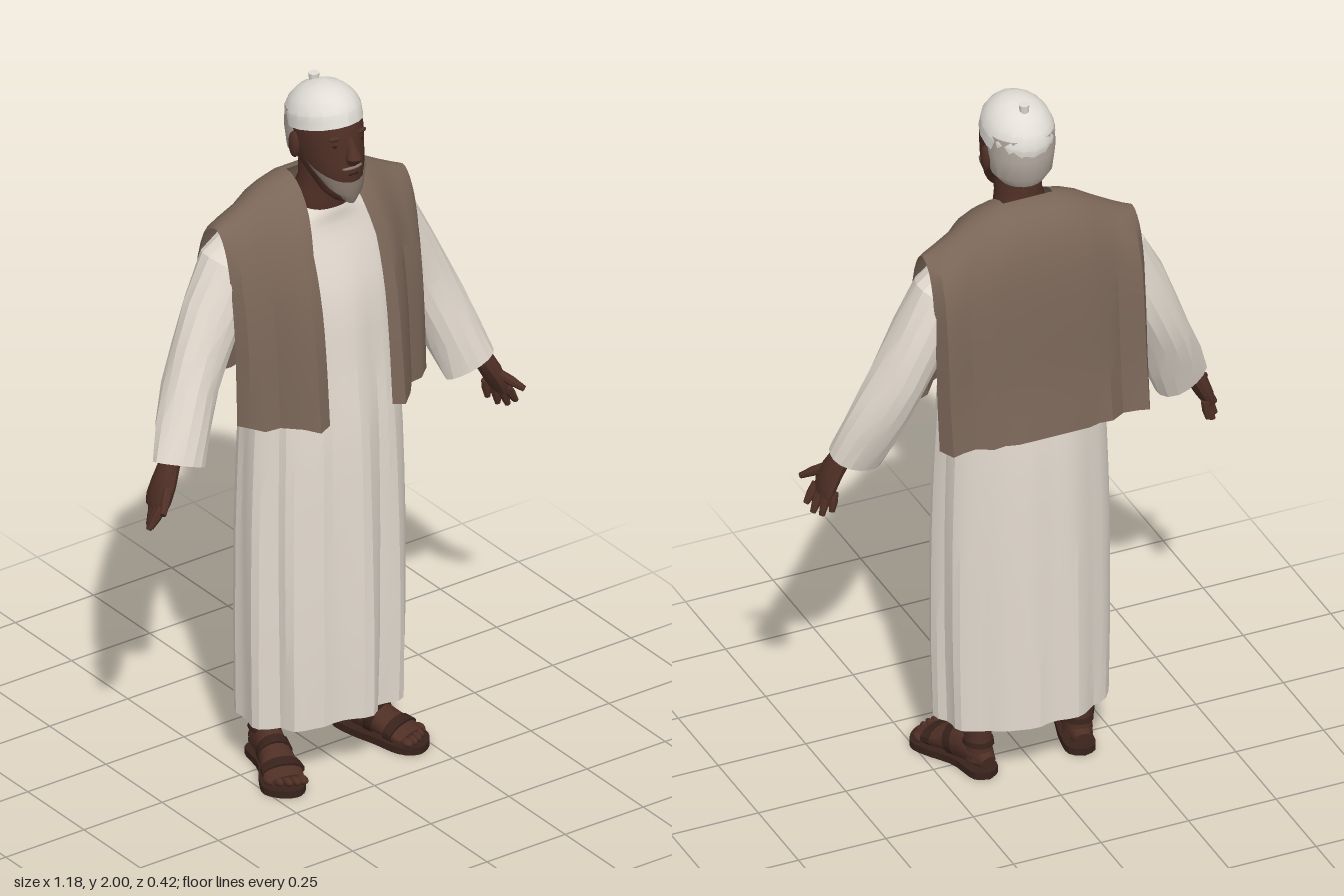
import * as THREE from 'three';
import { toCreasedNormals } from 'three/addons/utils/BufferGeometryUtils.js';

const V = (x, y, z) => new THREE.Vector3(x, y, z);
const mat = (name, color, side = THREE.FrontSide) => {
  const m = new THREE.MeshStandardMaterial({ color, side });
  m.name = name;
  return m;
};

// Joins rows of points into a surface; skip(row, column) leaves a hole
function grid(rows, closed, skip = () => false, crease = 0.6) {
  const n = rows[0].length, index = [];
  for (let r = 0; r < rows.length - 1; r++) {
    for (let c = 0; c < (closed ? n : n - 1); c++) {
      if (skip(r, c)) continue;
      const d = (c + 1) % n, a = r * n, b = a + n;
      index.push(a + c, a + d, b + d, a + c, b + d, b + c);
    }
  }
  const g = new THREE.BufferGeometry().setFromPoints(rows.flat());
  g.setIndex(index);
  return toCreasedNormals(g, crease);
}

// Lofts ellipses along a path of [x, y, z, radius u, radius v]
function loft(path, { n = 14, hint = V(0, 0, 1), mod = () => 1, caps = true, crease = 0.6 } = {}) {
  const pts = path.map(p => V(p[0], p[1], p[2])), last = pts.length - 1;
  const rows = pts.map((p, i) => {
    const t = pts[Math.min(i + 1, last)].clone().sub(pts[Math.max(i - 1, 0)]).normalize();
    const u = t.clone().cross(hint).normalize(), v = u.clone().cross(t);
    return Array.from({ length: n }, (_, j) => {
      const a = j / n * Math.PI * 2, m = mod(a, i / last);
      return p.clone().addScaledVector(u, path[i][3] * m * Math.sin(a)).addScaledVector(v, path[i][4] * m * Math.cos(a));
    });
  });
  if (caps) {
    rows.unshift(Array(n).fill(pts[0]));
    rows.push(Array(n).fill(pts[last]));
  }
  return grid(rows, true, undefined, crease);
}

// Upright loft from rows of [y, centre z, radius x, radius z]; rise(angle, fraction) bends a ring up or down
const column = (rows, { n = 14, mod = () => 1, rise = () => 0, caps = true, crease = 0.6 } = {}) => {
  const rings = rows.map(([y, z, rx, rz], i) => Array.from({ length: n }, (_, j) => {
    const a = j / n * Math.PI * 2, f = i / (rows.length - 1), m = mod(a, f);
    return V(rx * m * Math.sin(a), y + rise(a, f), z + rz * m * Math.cos(a));
  }));
  if (caps) {
    rings.unshift(Array(n).fill(V(0, rows[0][0], rows[0][1])));
    rings.push(Array(n).fill(V(0, rows.at(-1)[0], rows.at(-1)[1])));
  }
  return grid(rings, true, undefined, crease);
};

// Smooths a short list of rows into many
function refine(rows, count) {
  const a = new THREE.CatmullRomCurve3(rows.map(r => V(r[0], r[1], 0)));
  const b = new THREE.CatmullRomCurve3(rows.map(r => V(r[2] ?? 0, r[3] ?? 0, 0)));
  return Array.from({ length: count + 1 }, (_, i) => {
    const p = a.getPoint(i / count), q = b.getPoint(i / count);
    return [p.x, p.y, q.x, q.y];
  });
}

export function createModel() {
  const model = new THREE.Group();
  const robe = mat('robe cloth', 0xe3dacf, THREE.DoubleSide);
  const vest = mat('vest cloth', 0x7a6658, THREE.DoubleSide);
  const skin = mat('skin', 0x4e2f25);
  const capCloth = mat('cap cloth', 0xe2ded7);
  const paleHair = mat('pale hair', 0xb3a99f);
  const beardHair = mat('grey beard', 0x85776c, THREE.DoubleSide);
  const leather = mat('sandal leather', 0x38221b);
  const dark = mat('dark detail', 0x2c1a15);

  const add = (name, geometry, material, parent = model) => {
    const m = new THREE.Mesh(geometry, material);
    m.name = name;
    parent.add(m);
    return m;
  };
  const ball = (name, p, s, material, parent) => {
    const m = add(name, new THREE.SphereGeometry(1, 12, 8), material, parent);
    m.position.set(...p);
    m.scale.set(...s);
    return m;
  };

  // Long robe, with creased folds that deepen towards the hem and a dipped neckline
  const robeRows = refine([
    [0.168, 0.006, 0.237, 0.19], [0.4, 0.009, 0.242, 0.191], [0.7, 0.009, 0.242, 0.187], [1.0, 0.009, 0.233, 0.179],
    [1.2, 0.008, 0.222, 0.16], [1.4, 0.003, 0.222, 0.145], [1.53, -0.012, 0.222, 0.12], [1.6, -0.015, 0.19, 0.1],
    [1.635, 0, 0.11, 0.084], [1.655, 0.004, 0.082, 0.076]], 22);
  add('robe', column(robeRows, {
    n: 54, caps: false, crease: 0.3,
    mod: (a, f) => {
      const depth = Math.max(0, 1 - f * 1.5) * (0.45 + 0.55 * Math.max(0, Math.cos(a)));
      const fold = Math.abs(Math.sin(4.5 * a + 1.4 + 0.5 * f)) - 0.72;
      return 1 + depth * (0.15 * fold + 0.035 * Math.sin(13 * a + 3 * f));
    },
    rise: (a, f) => f < 0.04 ? 0.012 * Math.cos(2 * a) : f > 0.97 ? -0.012 * Math.cos(a) : 0,
  }), robe);

  // Open vest: one sheet from the front hem, over the shoulders, to the back hem
  const profile = refine([
    [0.2, 1.075], [0.185, 1.25], [0.165, 1.4], [0.13, 1.53], [0.075, 1.65], [0.01, 1.71], [-0.05, 1.725],
    [-0.11, 1.69], [-0.153, 1.6], [-0.178, 1.4], [-0.188, 1.25], [-0.208, 1.085]], 28);
  const half = [ // x, depth in front, depth at the back, shoulder drop
    [0.1, 0.97, 1, 0], [0.135, 0.98, 0.99, 0.1], [0.17, 0.91, 0.95, 0.25], [0.21, 0.68, 0.84, 0.5],
    [0.25, 0.62, 0.89, 0.75], [0.28, 0.57, 0.88, 0.92], [0.3, 0.42, 0.62, 1]];
  const columns = [...half.map(([x, ...k]) => [-x, ...k]).reverse(), ...half];
  const vestRows = profile.map(([z, y]) => columns.map(([x, kf, kb, drop]) => {
    const top = Math.max(0, (y - 1.55) / 0.18);
    const narrow = 0.03 * top * (0.3 - Math.abs(x)) / 0.2;
    const low = Math.max(0, 1.6 - y) * 0.012 * Math.sin(Math.abs(x) * 60);
    return V(x - Math.sign(x) * narrow, 1.075 + (y - 1.075) * (1 - 0.16 * drop) - (z > 0 ? low : 0),
      -0.04 + (z + 0.04) * (z > -0.04 ? kf : kb) + low);
  }));
  add('vest', grid(vestRows, false, (r, c) => c === 6 && profile[r + 1][0] > -0.058, 0.5), vest);

  // Neck and head
  const head = new THREE.Group();
  head.name = 'head';
  model.add(head);
  add('neck', column([[1.6, 0.0, 0.075, 0.07], [1.66, 0.005, 0.079, 0.073], [1.685, 0.008, 0.072, 0.069], [1.72, 0.018, 0.064, 0.062], [1.8, 0.02, 0.066, 0.065]]), skin, head);
  add('face', column(refine([
    [1.693, 0.108, 0.03, 0.034], [1.715, 0.097, 0.052, 0.056], [1.75, 0.075, 0.066, 0.081], [1.79, 0.05, 0.08, 0.109],
    [1.84, 0.036, 0.088, 0.115], [1.88, 0.03, 0.091, 0.116], [1.92, 0.026, 0.09, 0.108], [1.95, 0.025, 0.08, 0.09]], 16), { n: 24 }), skin, head);

  // Beard: a thin strip around the jaw, climbing towards the ears
  const beardRows = [[0, -0.006, 0.031, 0.108], [0.022, 0, 0.054, 0.097], [0.048, 0, 0.066, 0.078], [0.066, 0, 0.071, 0.067]]
    .map(([dy, dz, rx, cz]) => Array.from({ length: 17 }, (_, j) => {
      const a = (j / 8 - 1) * 1.75, lift = 0.045 * (1 - Math.cos(a));
      const grow = 1.05 + 0.12 * (1 - Math.cos(a));
      return V(rx * grow * Math.sin(a), 1.69 + dy + lift, cz + dz + (0.16 - cz) * Math.cos(a));
    }));
  add('beard', grid(beardRows, false), beardHair, head);
  add('back hair', column([
    [1.772, -0.004, 0.06, 0.06], [1.8, -0.003, 0.083, 0.076], [1.86, 0, 0.091, 0.087], [1.92, 0, 0.09, 0.082]], { n: 20 }), paleHair, head);
  add('nose', loft([[0, 1.88, 0.138, 0.01, 0.008], [0, 1.85, 0.148, 0.014, 0.014], [0, 1.826, 0.157, 0.022, 0.024], [0, 1.81, 0.15, 0.018, 0.014]], { n: 10 }), skin, head);
  ball('moustache', [0, 1.796, 0.149], [0.032, 0.006, 0.012], beardHair, head);
  ball('lips', [0, 1.778, 0.146], [0.026, 0.009, 0.013], dark, head);
  for (const s of [1, -1]) {
    ball('ear', [s * 0.092, 1.835, 0.02], [0.012, 0.038, 0.02], skin, head);
    ball('brow', [s * 0.034, 1.882, 0.128], [0.026, 0.008, 0.011], skin, head);
    ball('eye', [s * 0.036, 1.86, 0.131], [0.013, 0.005, 0.006], dark, head);
  }

  // Round cap, tipped back, with a knob on top
  const cap = add('cap', column(refine([
    [-0.012, 0, 0.096, 0.114], [0.025, 0, 0.095, 0.112], [0.058, 0, 0.08, 0.094], [0.084, 0, 0.051, 0.06], [0.096, 0, 0.015, 0.018]], 8), { n: 18, crease: 0.4 }), capCloth, head);
  cap.position.set(0, 1.897, 0.025);
  cap.rotation.x = -0.24;
  const knob = add('cap knob', new THREE.CylinderGeometry(0.015, 0.012, 0.03, 8), capCloth, head);
  knob.position.set(0, 1.985, -0.02);

  for (const s of [1, -1]) {
    const side = s > 0 ? 'left' : 'right';
    const limb = (rows, opt) => loft(rows.map(([x, ...r]) => [s * x, ...r]), opt);

    // Wide sleeve, open at the cuff
    const arm = new THREE.Group();
    arm.name = side + 'Arm';
    model.add(arm);
    add('sleeve', limb([
      [0.2, 1.56, -0.045, 0.06, 0.07], [0.25, 1.5, -0.045, 0.08, 0.083], [0.305, 1.39, -0.045, 0.08, 0.082],
      [0.355, 1.28, -0.038, 0.077, 0.078], [0.395, 1.19, -0.022, 0.077, 0.073], [0.43, 1.1, 0.002, 0.079, 0.065], [0.465, 1.008, 0.028, 0.076, 0.055]], {
      n: 16, caps: false, crease: 0.25, mod: (a, f) => 1 + 0.05 * Math.sin(3 * a + 9 * f),
    }), robe, arm);

    // Hand with spread fingers and a forward thumb
    const hand = new THREE.Group();
    hand.name = side + 'Hand';
    arm.add(hand);
    add('palm', limb([
      [0.44, 1.1, 0.01, 0.032, 0.032], [0.498, 1.02, 0.03, 0.028, 0.031], [0.522, 0.975, 0.038, 0.026, 0.042],
      [0.54, 0.935, 0.04, 0.022, 0.046], [0.548, 0.91, 0.04, 0.015, 0.04]], { n: 12 }), skin, hand);
    const digits = [
      [[0.53, 0.925, 0.008], [0.538, 0.872, 0.004]], [[0.542, 0.92, 0.03], [0.558, 0.855, 0.022]],
      [[0.548, 0.92, 0.05], [0.574, 0.856, 0.044]], [[0.552, 0.925, 0.07], [0.584, 0.874, 0.066]],
      [[0.525, 0.975, 0.062], [0.578, 0.93, 0.113]]];
    digits.forEach(([a, b], i) => {
      const mid = a.map((v, k) => (v + b[k]) / 2);
      add(i < 4 ? 'finger' : 'thumb', limb([[...a, 0.012, 0.013], [...mid, 0.013, 0.013], [...b, 0.008, 0.008]], { n: 8 }), skin, hand);
    });

    // Ankle, foot and toes, turned slightly outwards
    const foot = new THREE.Group();
    foot.name = side + 'Foot';
    model.add(foot);
    add('ankle', limb([
      [0.142, 0.3, -0.025, 0.042, 0.05], [0.142, 0.2, -0.035, 0.038, 0.046], [0.142, 0.11, -0.04, 0.035, 0.044], [0.142, 0.04, -0.045, 0.038, 0.048]]), skin, foot);
    const up = { hint: V(0, 1, 0), n: 14 };
    add('foot', limb([
      [0.135, 0.045, -0.092, 0.022, 0.02], [0.14, 0.055, -0.06, 0.036, 0.038], [0.155, 0.065, 0, 0.041, 0.052],
      [0.175, 0.05, 0.06, 0.046, 0.036], [0.193, 0.037, 0.11, 0.054, 0.022], [0.2, 0.032, 0.14, 0.048, 0.015]], up), skin, foot);
    for (let i = 0; i < 5; i++) {
      ball('toe', [s * (0.168 + i * 0.019), 0.033, 0.162 - 0.003 * i * i], [i ? 0.01 : 0.014, 0.012, 0.02], skin, foot);
    }

    // Sandal: sole and straps
    const outline = new THREE.Shape();
    outline.setFromPoints(new THREE.SplineCurve([
      [0.135, 0.104], [0.175, 0.085], [0.195, 0.0], [0.24, -0.07], [0.26, -0.12], [0.235, -0.165], [0.19, -0.184],
      [0.148, -0.15], [0.128, -0.07], [0.108, 0.0], [0.1, 0.075], [0.135, 0.104],
    ].map(([x, y]) => new THREE.Vector2(s * x, y))).getPoints(36).slice(0, -1));
    const sole = new THREE.ExtrudeGeometry(outline, { depth: 0.02, bevelEnabled: false });
    add('sole', sole.rotateX(-Math.PI / 2), leather, foot);
    add('toe strap', limb([[0.183, 0.044, 0.085, 0.055, 0.032], [0.191, 0.04, 0.11, 0.059, 0.027]], up), leather, foot);
    add('instep strap', limb([[0.161, 0.061, 0.02, 0.046, 0.051], [0.169, 0.055, 0.042, 0.048, 0.046]], up), leather, foot);
    add('ankle strap', limb([[0.142, 0.085, -0.043, 0.041, 0.051], [0.142, 0.098, -0.042, 0.039, 0.049]]), leather, foot);
  }
  return model;
}
